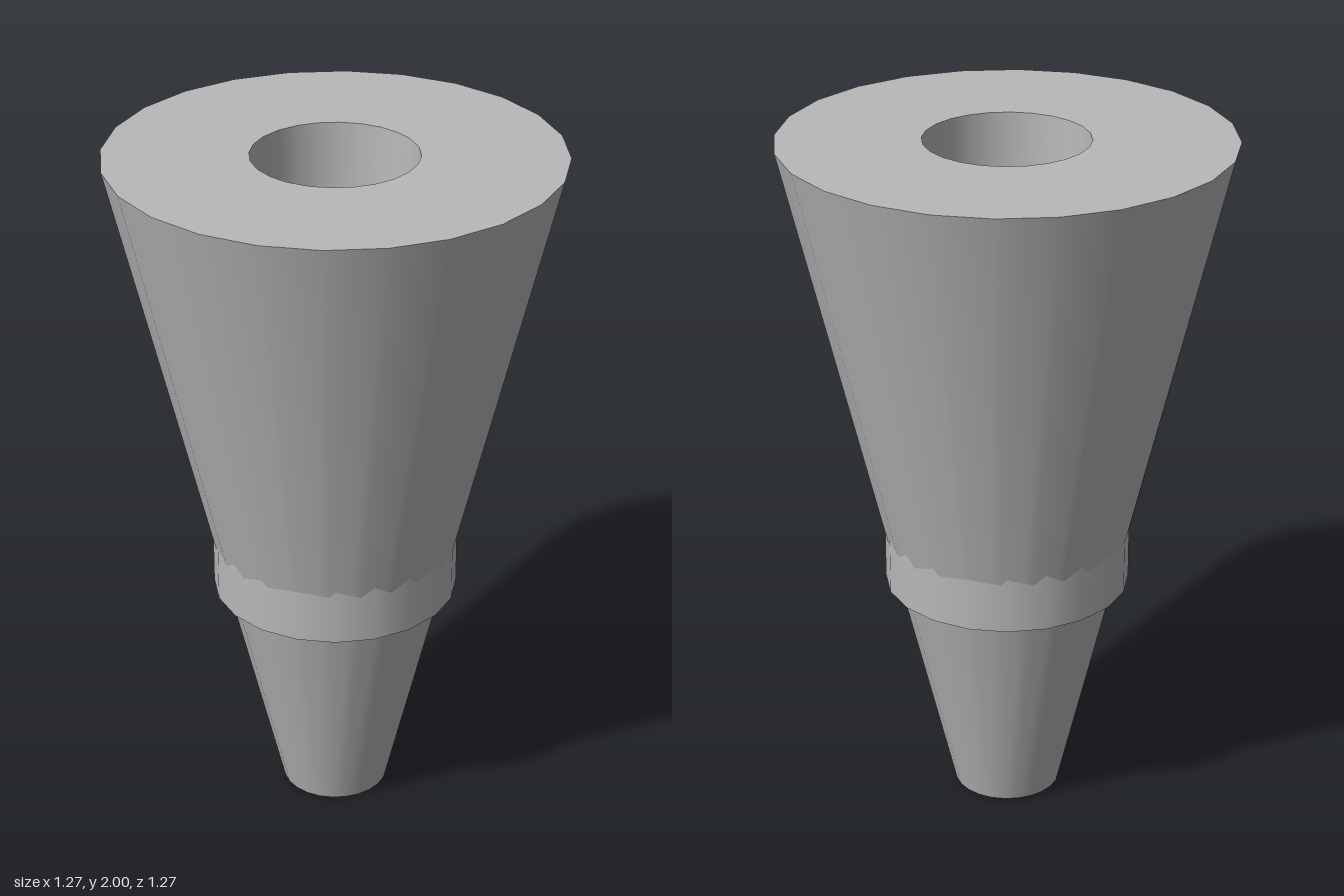
import * as THREE from 'three';

export function createModel() {
  const model = new THREE.Group();
  model.name = 'taperedNozzle';
  const gray = new THREE.MeshStandardMaterial({ color: 0xb8b8b8 });
  gray.name = 'plain gray';

  const add = (name, geometry, y) => {
    const mesh = new THREE.Mesh(geometry, gray);
    mesh.name = name;
    mesh.position.y = y;
    model.add(mesh);
    return mesh;
  };

  const height = 2, sides = 24;
  const outer = { bottom: 0.154, top: 0.636 };
  const bore = { bottom: 0.138, top: 0.233 };

  // Tapered outer wall
  add('outerCone', new THREE.CylinderGeometry(outer.top, outer.bottom, height, sides, 1, true), height / 2);

  // Tapered bore: mirrored in x so that its faces and normals point inward
  const boreGeometry = new THREE.CylinderGeometry(bore.top, bore.bottom, height, sides, 1, true);
  const index = boreGeometry.index;
  for (let i = 0; i < index.count; i += 3) {
    const a = index.getX(i);
    index.setX(i, index.getX(i + 2));
    index.setX(i + 2, a);
  }
  const normals = boreGeometry.attributes.normal;
  for (let i = 0; i < normals.count; i++) {
    normals.setXYZ(i, -normals.getX(i), -normals.getY(i), -normals.getZ(i));
  }
  add('bore', boreGeometry, height / 2);

  // Flat rims closing both ends
  add('topRim', new THREE.RingGeometry(bore.top, outer.top, sides).rotateX(-Math.PI / 2), height);
  add('bottomRim', new THREE.RingGeometry(bore.bottom, outer.bottom, sides).rotateX(Math.PI / 2), 0);

  // Collar around the lower third: its upper end sinks into the cone
  const collarBottom = 0.67, collarTop = 0.85, collarRadius = 0.353, collarSides = 20;
  add('collarWall',
    new THREE.CylinderGeometry(collarRadius, collarRadius, collarTop - collarBottom, collarSides, 1, true),
    (collarBottom + collarTop) / 2);
  add('collarUnderside',
    new THREE.RingGeometry(0.3, collarRadius, collarSides).rotateX(Math.PI / 2), collarBottom);

  return model;
}
